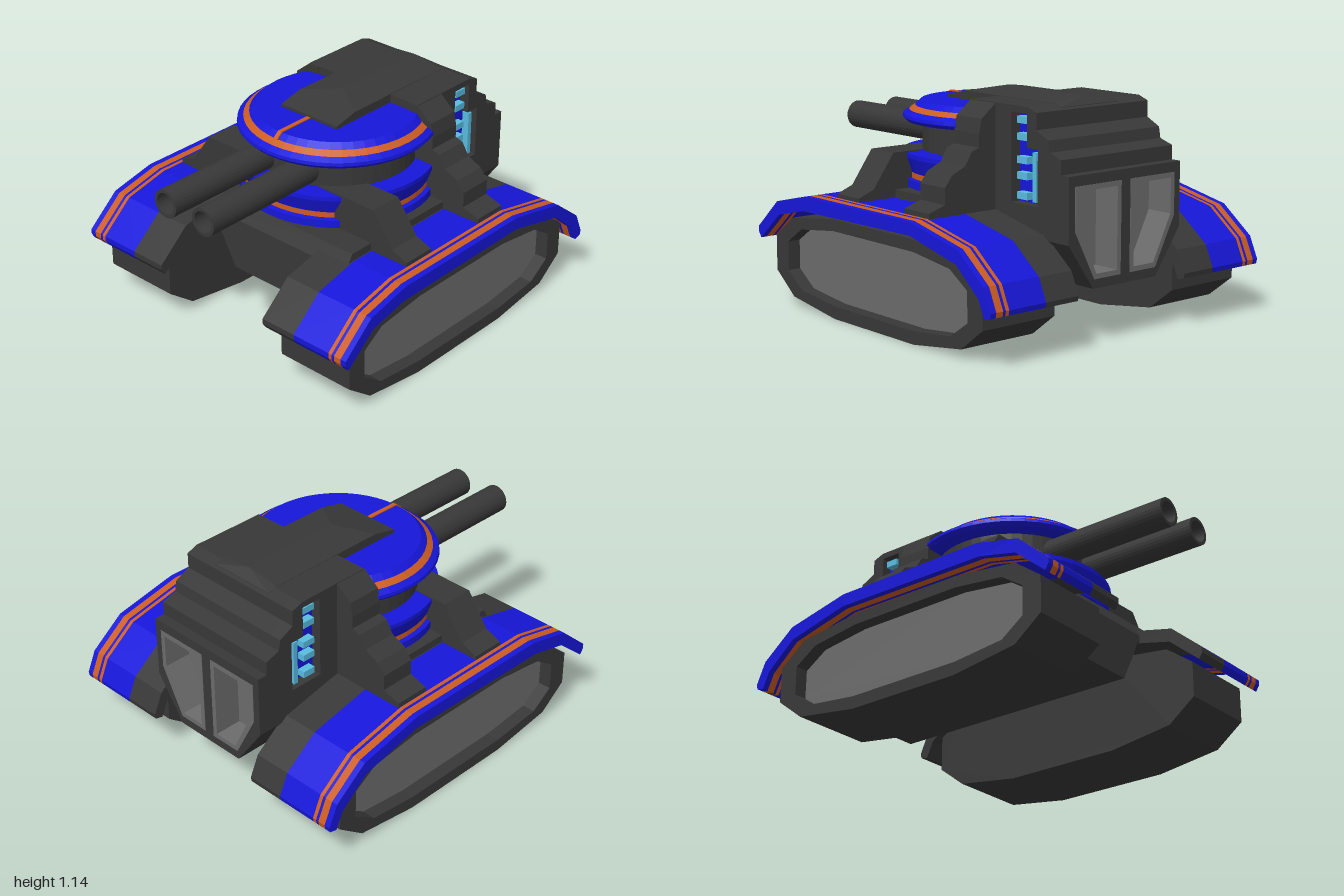
import * as THREE from 'three';

const paint = (color) => new THREE.MeshStandardMaterial({ color, flatShading: true, side: THREE.DoubleSide });
const DARK = paint(0x383838), GREY = paint(0x6c6c6c), BLUE = paint(0x1616da);
const ORANGE = paint(0xcc5c22), CYAN = paint(0x58bce0);

function add(parent, name, geometry, material) {
  const mesh = new THREE.Mesh(geometry, material);
  mesh.name = name;
  parent.add(mesh);
  return mesh;
}

const toPoints = (pts) => pts.map(([a, b]) => new THREE.Vector2(a, b));

function outline(pts, holes = []) {
  const shape = new THREE.Shape(toPoints(pts));
  for (const h of holes) shape.holes.push(new THREE.Path(toPoints(h)));
  return shape;
}

// Side profile of (z, y) points, extruded from x0 to x1
function sideSlab(pts, x0, x1, holes) {
  return new THREE.ExtrudeGeometry(outline(pts, holes), { depth: x1 - x0, bevelEnabled: false })
    .rotateY(-Math.PI / 2).translate(x1, 0, 0);
}

// Front profile of (x, y) points, extruded from z0 to z1
function frontSlab(pts, z0, z1, holes) {
  return new THREE.ExtrudeGeometry(outline(pts, holes), { depth: z1 - z0, bevelEnabled: false })
    .translate(0, 0, z0);
}

function block(x0, x1, y0, y1, z0, z1) {
  return new THREE.BoxGeometry(x1 - x0, y1 - y0, z1 - z0)
    .translate((x0 + x1) / 2, (y0 + y1) / 2, (z0 + z1) / 2);
}

// Turret ring, cut off flat at the cabin front
function turretRing(pts) {
  const g = new THREE.LatheGeometry(toPoints(pts), 48).translate(0, 0, -0.06);
  const p = g.attributes.position;
  for (let i = 0; i < p.count; i++) p.setZ(i, Math.max(p.getZ(i), -0.255));
  return g;
}

const mirrorX = (pts) => [...pts, ...pts.slice().reverse().map(([x, y]) => [-x, y])];

const TRACK = [[0.765, 0.35], [0.615, 0.46], [0.26, 0.505], [-0.38, 0.505], [-0.73, 0.46], [-0.88, 0.35],
  [-0.88, 0.165], [-0.73, 0.05], [-0.38, 0], [0.26, 0], [0.615, 0.05], [0.765, 0.165]];
const TRACK_HOLE = [[0.66, 0.33], [0.54, 0.41], [0.26, 0.445], [-0.38, 0.445], [-0.65, 0.41], [-0.775, 0.33],
  [-0.775, 0.18], [-0.65, 0.095], [-0.38, 0.065], [0.26, 0.065], [0.54, 0.095], [0.66, 0.18]];
const FENDER = [[0.85, 0.39], [0.85, 0.362], [0.83, 0.332], [0.66, 0.475], [0.45, 0.525], [-0.42, 0.535],
  [-0.76, 0.455], [-0.915, 0.325], [-0.955, 0.24], [-0.995, 0.25], [-1, 0.275], [-0.95, 0.385],
  [-0.77, 0.525], [-0.42, 0.6], [0.43, 0.6], [0.675, 0.543]];
const CABIN = [[-0.25, 0.5], [-0.25, 1.112], [-0.66, 1.112], [-0.72, 1.09], [-0.72, 1.01],
  [-0.8, 0.97], [-0.81, 0.915], [-0.89, 0.89], [-0.89, 0.815], [-0.78, 0.815], [-0.78, 0.5]];
const VENT = [[-0.545, 0.65], [-0.545, 1.08], [-0.655, 1.08], [-0.655, 0.92], [-0.73, 0.92], [-0.73, 0.65]];
const EXHAUST = [[0.03, 0.77], [0.325, 0.77], [0.325, 0.56], [0.2, 0.32], [0.03, 0.32]];

// Everything that exists once per side, built for +x
function buildSide() {
  const side = new THREE.Group();

  add(side, 'trackCore', sideSlab(TRACK, 0.39, 0.75), DARK);
  add(side, 'trackRim', sideSlab(TRACK, 0.75, 0.825, [TRACK_HOLE]), DARK);
  add(side, 'trackPanel', sideSlab(TRACK_HOLE, 0.74, 0.755), GREY);

  // Fender in coloured bands across its width
  const bands = [[0.35, 0.55, DARK], [0.55, 0.77, BLUE], [0.77, 0.79, ORANGE],
    [0.79, 0.805, BLUE], [0.805, 0.845, ORANGE], [0.845, 0.877, BLUE]];
  for (const [x0, x1, material] of bands) add(side, 'fenderBand', sideSlab(FENDER, x0, x1), material);

  // Brackets between turret and fender
  add(side, 'frontBracket', frontSlab([[0.2, 0.59], [0.2, 0.825], [0.555, 0.825], [0.677, 0.655],
    [0.768, 0.62], [0.768, 0.59]], 0.12, 0.3), DARK);
  add(side, 'rearBracket', frontSlab([[0.3, 0.59], [0.3, 1.108], [0.365, 1.108], [0.45, 1.04], [0.465, 0.97],
    [0.465, 0.905], [0.51, 0.89], [0.55, 0.825], [0.63, 0.79], [0.672, 0.735], [0.672, 0.655],
    [0.768, 0.625], [0.768, 0.59]], -0.43, -0.245), DARK);

  // Cabin side wall with a recessed vent and its lights
  add(side, 'cabinWall', sideSlab(CABIN, 0.3, 0.363, [VENT]), DARK);
  add(side, 'ventPanel', sideSlab(VENT, 0.295, 0.31), BLUE);
  for (const y of [1.045, 0.965, 0.855, 0.78, 0.685]) {
    add(side, 'ventLight', block(0.3, 0.35, y - 0.017, y + 0.017, -0.64, -0.57), CYAN);
  }
  add(side, 'ventStrip', block(0.3, 0.35, 0.665, 0.9, -0.705, -0.68), CYAN);

  // Half of the ridged roof plate: the outer edge is lower and its bend lies further forward
  const roof = sideSlab([[0.15, 1.05], [0.15, 1.083], [-0.1, 1.14], [-0.65, 1.14], [-0.7, 1.1], [-0.7, 1.05]], 0, 0.185);
  const p = roof.attributes.position;
  for (let i = 0; i < p.count; i++) {
    if (p.getX(i) < 0.1 || p.getY(i) < 1.12) continue;
    p.setY(i, 1.114);
    if (p.getZ(i) > -0.2) p.setZ(i, 0.015);
  }
  add(side, 'roofPlate', roof, DARK);

  // Twin gun barrel with an open bore
  const barrel = new THREE.LatheGeometry(toPoints([[0.073, 0.2], [0.073, 1], [0.056, 1], [0.056, 0.85], [0, 0.85]]), 28)
    .rotateX(Math.PI / 2).translate(0.126, 0.893, 0);
  add(side, 'gunBarrel', barrel, DARK);

  // Rear exhaust: frame around a deep recess
  add(side, 'exhaustFrame', frontSlab(EXHAUST, -0.946, -0.79,
    [[[0.055, 0.745], [0.3, 0.745], [0.3, 0.57], [0.187, 0.345], [0.055, 0.345]]]), GREY);
  add(side, 'exhaustBack', frontSlab(EXHAUST, -0.8, -0.785), GREY);
  return side;
}

export function createModel() {
  const model = new THREE.Group();
  model.name = 'tank';

  const left = buildSide();
  left.name = 'leftSide';
  const right = buildSide();
  right.name = 'rightSide';
  right.scale.x = -1;
  model.add(left, right);

  // Hull
  add(model, 'upperHull', sideSlab([[0.48, 0.52], [0.48, 0.56], [0.435, 0.64], [-0.43, 0.64], [-0.43, 0.52]],
    -0.545, 0.545), DARK);
  add(model, 'lowerHull', frontSlab(mirrorX([[0.35, 0.56], [0.3, 0.45], [0.205, 0.275]]), -0.78, 0.48), DARK);

  // Cabin with a stepped back, and the rear wall around the exhausts
  add(model, 'cabin', sideSlab(CABIN, -0.3, 0.3), DARK);
  add(model, 'rearWall', frontSlab(mirrorX([[0.363, 0.82], [0.363, 0.5], [0.205, 0.275]]), -0.944, -0.78,
    [EXHAUST, EXHAUST.map(([x, y]) => [-x, y])]), DARK);

  // Turret drum and rings
  const rings = [
    ['lowerRing', BLUE, [[0.4, 0.642], [0.5, 0.645], [0.5, 0.685], [0.475, 0.688]]],
    ['lowerStripe', ORANGE, [[0.475, 0.688], [0.475, 0.717]]],
    ['collar', BLUE, [[0.475, 0.717], [0.504, 0.795], [0.504, 0.817], [0.4, 0.82]]],
    ['drum', DARK, [[0.405, 0.64], [0.405, 0.97]]],
    ['capRim', BLUE, [[0.39, 0.966], [0.485, 0.966], [0.503, 0.985], [0.5, 1.002], [0.47, 1.02]]],
    ['capStripe', ORANGE, [[0.47, 1.02], [0.44, 1.042]]],
    ['cap', BLUE, [[0.44, 1.042], [0.41, 1.068], [0, 1.07]]],
  ];
  for (const [name, material, pts] of rings) add(model, name, turretRing(pts), material);

  // Centre stripe on the turret cap
  add(model, 'capCentreStripe', sideSlab([[0.14, 1.05], [0.14, 1.074], [0.352, 1.073], [0.39, 1.042], [0.35, 1.03]],
    -0.012, 0.012), ORANGE);
  return model;
}
